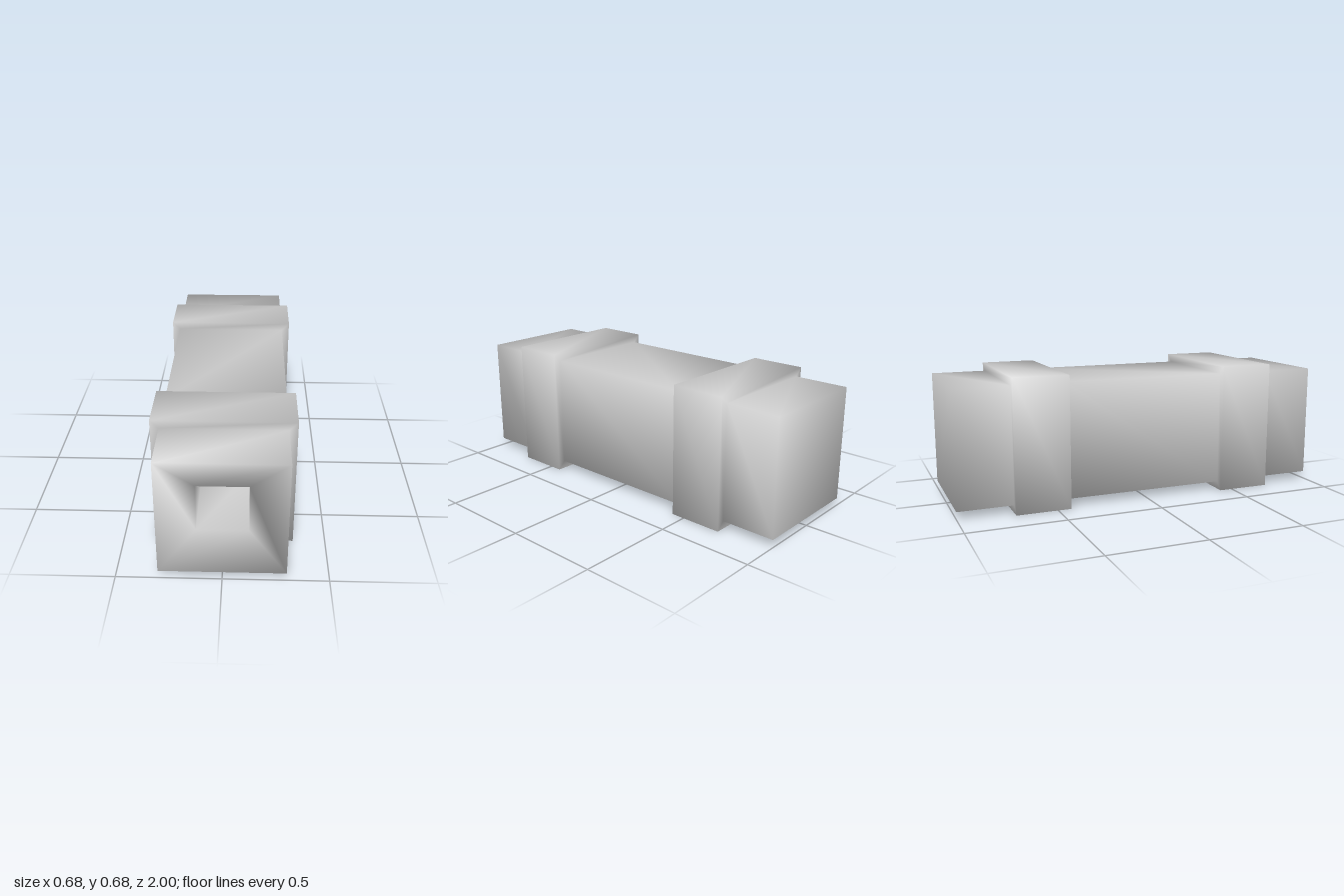
import * as THREE from 'three';

// Square cross-sections [half width, z] joined in order into one smooth skin
function squareLoft(sections, centreY) {
  const positions = [];
  const index = [];
  const corners = [[1, -1], [1, 1], [-1, 1], [-1, -1]];
  for (const [half, z] of sections) {
    for (const [cx, cy] of corners) positions.push(cx * half, centreY + cy * half, z);
  }
  for (let i = 0; i < sections.length - 1; i++) {
    for (let j = 0; j < 4; j++) {
      const a = i * 4 + j;
      const b = i * 4 + (j + 1) % 4;
      index.push(a, b, b + 4, a, b + 4, a + 4);
    }
  }
  // Flat caps on the first and last section
  const n = (sections.length - 1) * 4;
  index.push(0, 2, 1, 0, 3, 2, n, n + 1, n + 2, n, n + 2, n + 3);
  const geometry = new THREE.BufferGeometry();
  geometry.setAttribute('position', new THREE.Float32BufferAttribute(positions, 3));
  geometry.setIndex(index);
  geometry.computeVertexNormals();
  return geometry;
}

export function createModel() {
  const group = new THREE.Group();
  group.name = 'squarePipe';

  const body = 0.3;
  const collar = 0.341;
  const bore = 0.123;
  const sections = [[body, -1]];
  // Two raised collars
  for (const [z0, z1] of [[-0.715, -0.43], [0.43, 0.715]]) {
    sections.push([body, z0], [collar, z0], [collar, z1], [body, z1]);
  }
  // Front rim, shallow funnel and blind square bore
  sections.push([body, 1], [bore, 0.915], [bore, 0.43]);

  const material = new THREE.MeshStandardMaterial({ color: 0xcccccc });
  const pipe = new THREE.Mesh(squareLoft(sections, collar), material);
  pipe.name = 'collaredPipeWithBore';
  group.add(pipe);
  return group;
}
